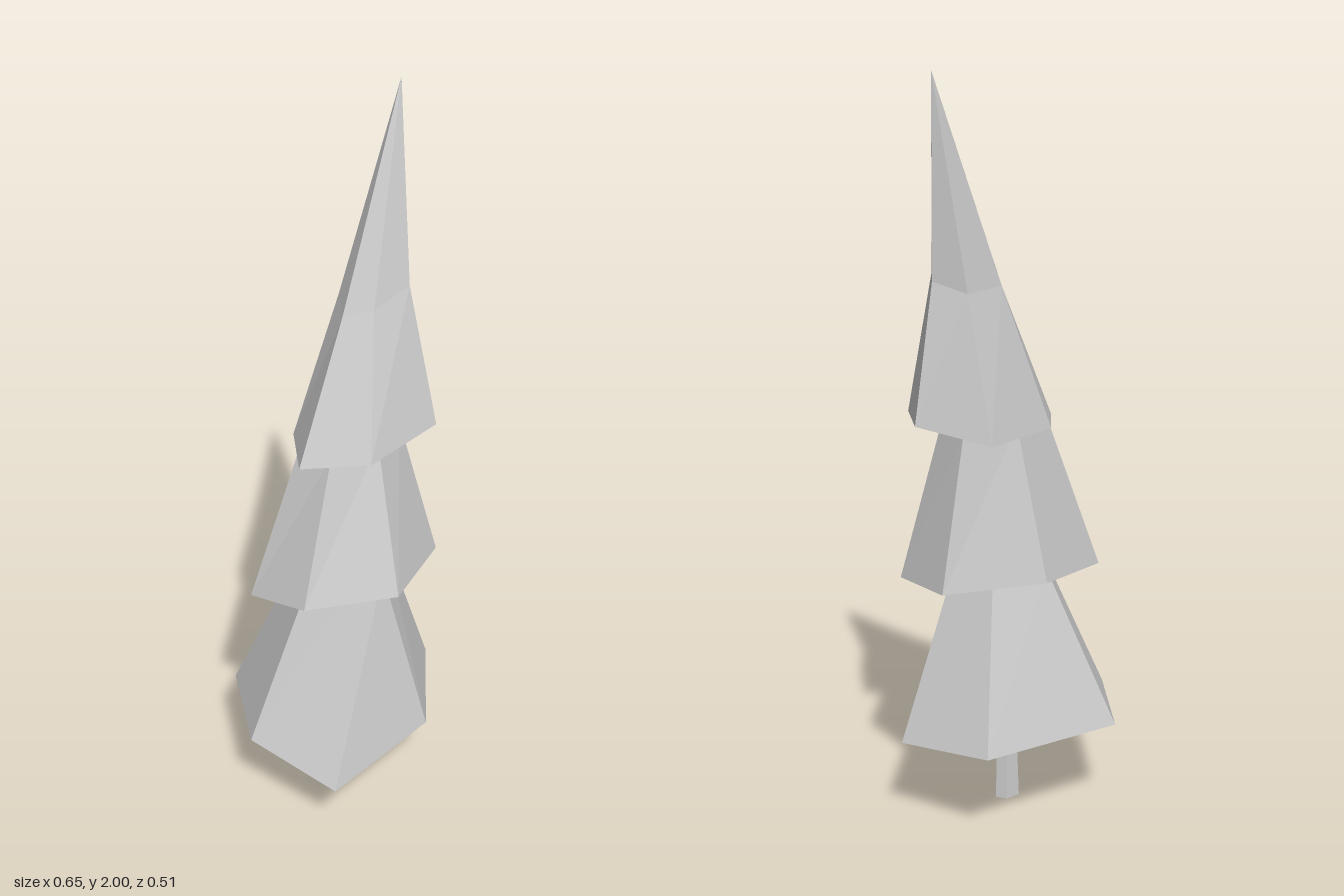
import * as THREE from 'three';

// Joins rings of [x, y, z] points, closing the bottom with a fan and the top with a fan to its tip.
function loft(rings, base, tip) {
  const pos = [];
  const tri = (...pts) => pts.forEach((p) => pos.push(...p));
  const n = rings[0].length;
  const last = rings[rings.length - 1];
  for (let i = 0; i < n; i++) {
    const j = (i + 1) % n;
    tri(base, rings[0][i], rings[0][j]);
    for (let k = 0; k < rings.length - 1; k++) {
      const lo = rings[k], hi = rings[k + 1];
      tri(lo[j], lo[i], hi[i]);
      tri(lo[j], hi[i], hi[j]);
    }
    tri(last[j], last[i], tip);
  }
  const geo = new THREE.BufferGeometry();
  geo.setAttribute('position', new THREE.Float32BufferAttribute(pos, 3));
  geo.computeVertexNormals();
  return geo;
}

export function createModel() {
  const tree = new THREE.Group();
  tree.name = 'tree';
  const grey = new THREE.MeshStandardMaterial({ color: 0xcccccc, flatShading: true });
  grey.name = 'plainGrey';

  const add = (name, rings, base, tip) => {
    const mesh = new THREE.Mesh(loft(rings, base, tip), grey);
    mesh.name = name;
    tree.add(mesh);
  };

  // Thin tapering trunk
  const foot = [[-0.03, -0.008], [0.012, -0.008], [0.03, 0.02], [0.0, 0.045], [-0.05, 0.025]];
  add('trunk', [
    foot.map(([x, z]) => [x, 0, z]),
    foot.map(([x, z]) => [x * 0.8, 0.23, 0.004 + z * 0.8]),
  ], [-0.01, 0, 0.02], [0, 0.23, 0.02]);

  // Wide lower skirt of branches
  add('lowerBranches', [
    [[-0.165, 0.265, -0.255], [0.243, 0.27, -0.218], [0.327, 0.245, 0.047],
      [0.117, 0.207, 0.235], [-0.272, 0.217, 0.252], [-0.328, 0.27, -0.018]],
    [[-0.04, 0.7, -0.11], [0.125, 0.7, -0.09], [0.16, 0.7, 0.035],
      [0.06, 0.7, 0.11], [-0.092, 0.7, 0.105], [-0.118, 0.7, 0.0]],
  ], [0, 0.21, 0.01], [0.02, 0.72, 0]);

  // Middle skirt, turned against the lower one
  add('middleBranches', [
    [[0.03, 0.7, -0.197], [0.295, 0.7, -0.1], [0.272, 0.682, 0.117],
      [0.01, 0.702, 0.213], [-0.235, 0.732, 0.103], [-0.23, 0.672, -0.105]],
    [[0.06, 1.11, -0.11], [0.2, 1.11, -0.07], [0.18, 1.11, 0.05],
      [0.056, 1.11, 0.09], [-0.078, 1.11, 0.05], [-0.075, 1.11, -0.06]],
  ], [0.02, 0.695, 0], [0.06, 1.12, 0]);

  // Leaning crown with a kink below the tip
  add('crown', [
    [[-0.04, 1.09, -0.126], [0.165, 1.077, -0.14], [0.315, 1.13, -0.02],
      [0.218, 1.122, 0.147], [-0.032, 1.108, 0.147], [-0.147, 1.085, 0.003]],
    [[0.09, 1.47, -0.085], [0.195, 1.46, -0.083], [0.257, 1.49, -0.02],
      [0.203, 1.5, 0.055], [0.08, 1.47, 0.047], [0.035, 1.45, -0.018]],
  ], [0.08, 1.1, 0], [0.276, 2, -0.053]);

  return tree;
}
